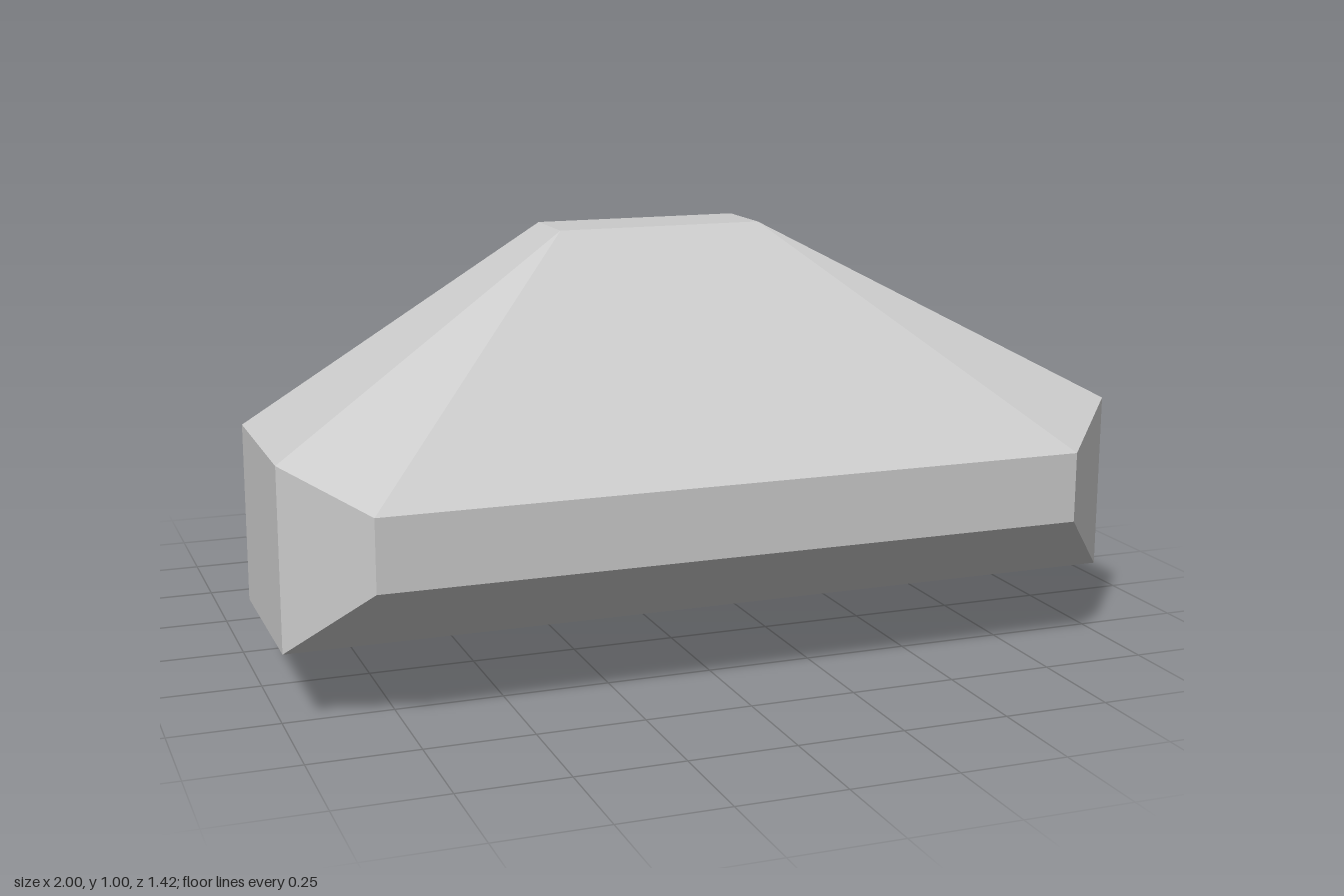
import * as THREE from 'three';

// Corners of the +x half of the boulder; the other half is mirrored.
const P = {
  topFront: [0.25, 1, 0.17], topBack: [0.25, 1, 0],
  noseTop: [0.83, 0.5, 0.71], noseLow: [0.83, 0.335, 0.71],
  sideTopFront: [1, 0.585, 0.54], sideLowFront: [1, 0.17, 0.54],
  sideTopBack: [1, 0.585, 0.125], sideLowBack: [1, 0.17, 0.125],
  baseFront: [0.755, 0, -0.06], baseBack: [0.755, 0, -0.685],
  rearRidge: [0.42, 0.67, -0.625], rearTop: [0.5, 0.585, -0.71],
  rearLow: [0.5, 0.17, -0.71], rearCorner: [0.81, 0.16, -0.69],
};

// Facets of one side, built twice by mirroring.
const sideFacets = [
  ['topFront', 'sideTopFront', 'noseTop'],
  ['topFront', 'topBack', 'sideTopBack', 'sideTopFront'],
  ['topBack', 'rearRidge', 'sideTopBack'],
  ['rearRidge', 'rearTop', 'sideTopBack'],
  ['noseTop', 'sideTopFront', 'sideLowFront', 'noseLow'],
  ['sideTopFront', 'sideTopBack', 'sideLowBack', 'sideLowFront'],
  ['sideTopBack', 'rearTop', 'rearCorner'],
  ['sideTopBack', 'rearCorner', 'sideLowBack'],
  ['sideLowBack', 'rearCorner', 'baseBack'],
  ['sideLowFront', 'sideLowBack', 'baseBack', 'baseFront'],
  ['rearTop', 'rearLow', 'rearCorner'],
  ['rearLow', 'baseBack', 'rearCorner'],
];

// Pairs of corners whose facet runs straight across to the mirrored pair.
const middleFacets = [
  ['topFront', 'topBack'], ['topFront', 'noseTop'], ['noseTop', 'noseLow'],
  ['noseLow', 'sideLowFront'], ['sideLowFront', 'baseFront'], ['baseFront', 'baseBack'],
  ['baseBack', 'rearLow'], ['rearLow', 'rearTop'], ['rearTop', 'rearRidge'], ['rearRidge', 'topBack'],
];

const corner = (name, sign) => new THREE.Vector3(P[name][0] * sign, P[name][1], P[name][2]);

function rockGeometry() {
  const positions = [];
  const middle = new THREE.Vector3(0, 0.42, 0);
  // Fan-fill a facet, turning every triangle outward.
  const addFacet = (pts) => {
    for (let i = 1; i < pts.length - 1; i++) {
      const tri = new THREE.Triangle(pts[0], pts[i], pts[i + 1]);
      const outward = tri.getMidpoint(new THREE.Vector3()).sub(middle);
      const flip = tri.getNormal(new THREE.Vector3()).dot(outward) < 0;
      for (const v of flip ? [tri.a, tri.c, tri.b] : [tri.a, tri.b, tri.c]) positions.push(v.x, v.y, v.z);
    }
  };
  for (const sign of [1, -1]) {
    for (const names of sideFacets) addFacet(names.map((n) => corner(n, sign)));
  }
  for (const [a, b] of middleFacets) addFacet([corner(a, 1), corner(b, 1), corner(b, -1), corner(a, -1)]);

  const geometry = new THREE.BufferGeometry();
  geometry.setAttribute('position', new THREE.Float32BufferAttribute(positions, 3));
  geometry.computeVertexNormals();
  return geometry;
}

export function createModel() {
  const group = new THREE.Group();
  group.name = 'rock';
  const stone = new THREE.MeshStandardMaterial({ color: 0xcacaca });
  stone.name = 'stone grey';
  const boulder = new THREE.Mesh(rockGeometry(), stone);
  boulder.name = 'boulder';
  group.add(boulder);
  return group;
}
